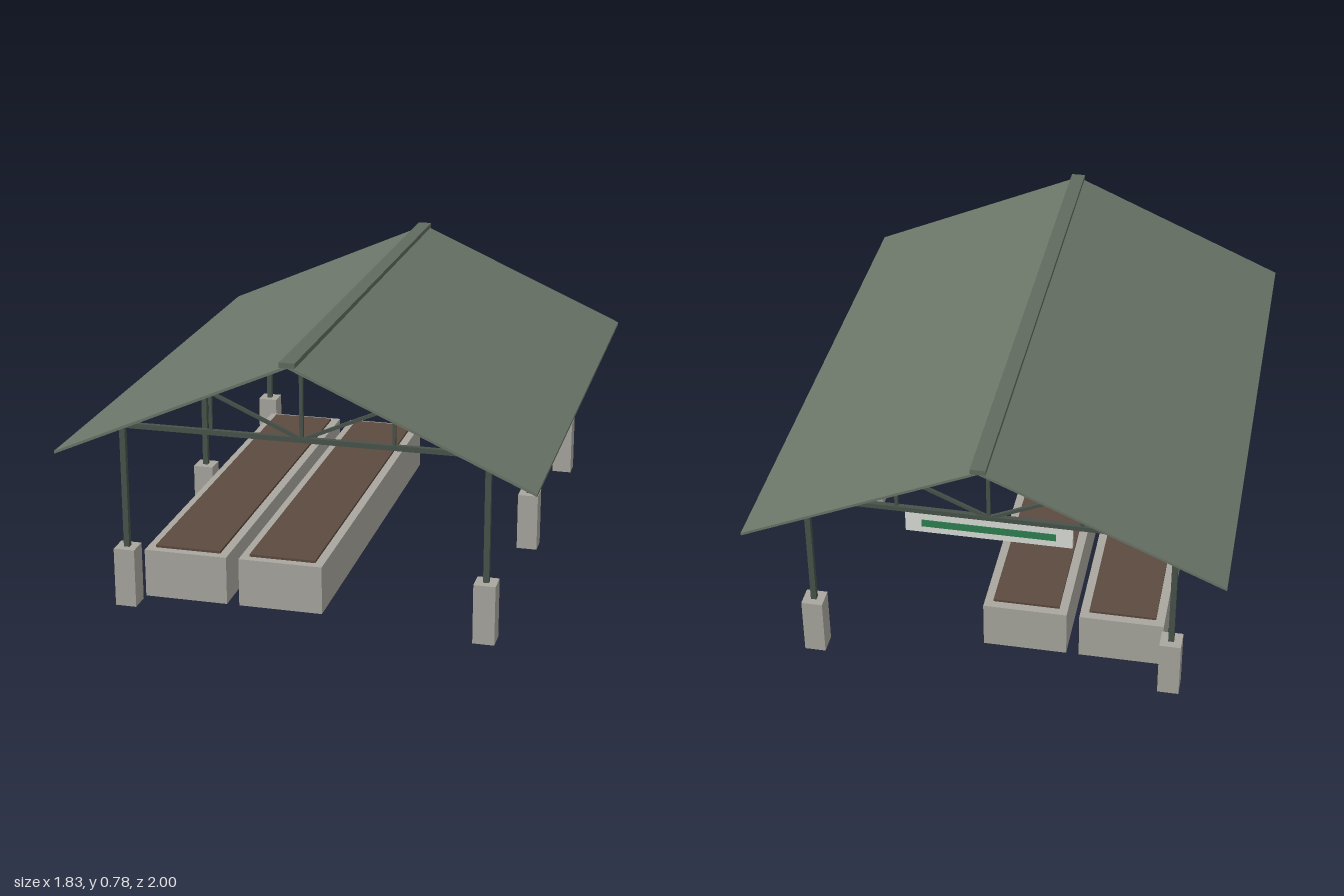
import * as THREE from 'three';

const mat = (name, color) => Object.assign(new THREE.MeshStandardMaterial({ color }), { name });

export function createModel() {
  const roofGreen = mat('roof green', 0x6b7568);
  const ridgeGreen = mat('ridge green', 0x616b5f);
  const steel = mat('dark green steel', 0x47524a);
  const concrete = mat('concrete', 0xa8a69e);
  const soil = mat('soil', 0x5c4a3f);
  const white = mat('sign white', 0xdcdfd8);
  const green = mat('sign green', 0x2f8050);

  const model = new THREE.Group();
  model.name = 'pavilion';
  // The whole pavilion stands turned on its plot
  const turned = new THREE.Group();
  turned.name = 'turnedPavilion';
  turned.rotation.y = -0.382;
  model.add(turned);

  const box = (name, m, w, h, d, x, y, z, parent = turned) => {
    const mesh = new THREE.Mesh(new THREE.BoxGeometry(w, h, d), m);
    mesh.name = name;
    mesh.position.set(x, y, z);
    parent.add(mesh);
    return mesh;
  };
  // Square bar between two points of the xy plane
  const bar = (name, x0, y0, x1, y1, t, parent) => {
    const b = box(name, steel, Math.hypot(x1 - x0, y1 - y0), t, t, (x0 + x1) / 2, (y0 + y1) / 2, 0, parent);
    b.rotation.z = Math.atan2(y1 - y0, x1 - x0);
  };

  const halfW = 0.657, halfL = 0.8125, eaveY = 0.482, ridgeY = 0.772, thick = 0.008;
  const postX = 0.508, rows = [-0.683, 0, 0.683], chordY = 0.527;

  // Roof slopes: thin slanted slabs
  for (const s of [-1, 1]) {
    const shape = new THREE.Shape([
      new THREE.Vector2(0, ridgeY), new THREE.Vector2(s * halfW, eaveY),
      new THREE.Vector2(s * halfW, eaveY - thick), new THREE.Vector2(0, ridgeY - thick),
    ]);
    const geo = new THREE.ExtrudeGeometry(shape, { depth: 2 * halfL, bevelEnabled: false });
    geo.translate(0, 0, -halfL);
    const slope = new THREE.Mesh(geo, roofGreen);
    slope.name = s > 0 ? 'leftRoofSlope' : 'rightRoofSlope';
    turned.add(slope);
  }
  box('ridgeCap', ridgeGreen, 0.042, 0.014, 2 * halfL + 0.004, 0, ridgeY + 0.001, 0);

  // Post rows: piers, posts and a truss each
  for (const z of rows) {
    for (const s of [-1, 1]) {
      box('pier', concrete, 0.06, 0.17, 0.06, s * postX, 0.085, z);
      box('post', steel, 0.016, chordY - 0.17, 0.016, s * postX, (chordY + 0.17) / 2, z);
    }
    const truss = new THREE.Group();
    truss.name = 'truss';
    truss.position.z = z;
    turned.add(truss);
    const apexY = 0.752, midX = postX / 2, midY = (apexY + chordY) / 2;
    bar('bottomChord', -postX - 0.008, chordY, postX + 0.008, chordY, 0.014, truss);
    bar('kingPost', 0, chordY, 0, apexY, 0.01, truss);
    for (const s of [-1, 1]) {
      bar('rafter', s * postX, chordY + 0.002, 0, apexY, 0.014, truss);
      bar('strut', 0, chordY, s * midX, midY, 0.009, truss);
      bar('webPost', s * midX, chordY, s * midX, midY, 0.009, truss);
    }
  }

  // Two long planters filled with soil
  for (const x of [-0.358, -0.082]) {
    box('planter', concrete, 0.24, 0.14, 1.232, x, 0.07, 0.016);
    box('planterSoil', soil, 0.19, 0.008, 1.182, x, 0.143, 0.016);
  }

  // Sign hanging under the back truss, with a green band on both faces
  const signZ = rows[0], signY = 0.488;
  box('signBoard', white, 0.46, 0.062, 0.012, 0, signY, signZ);
  for (const s of [-1, 1]) box('signBand', green, 0.37, 0.022, 0.002, 0, signY, signZ + s * 0.007);

  return model;
}
